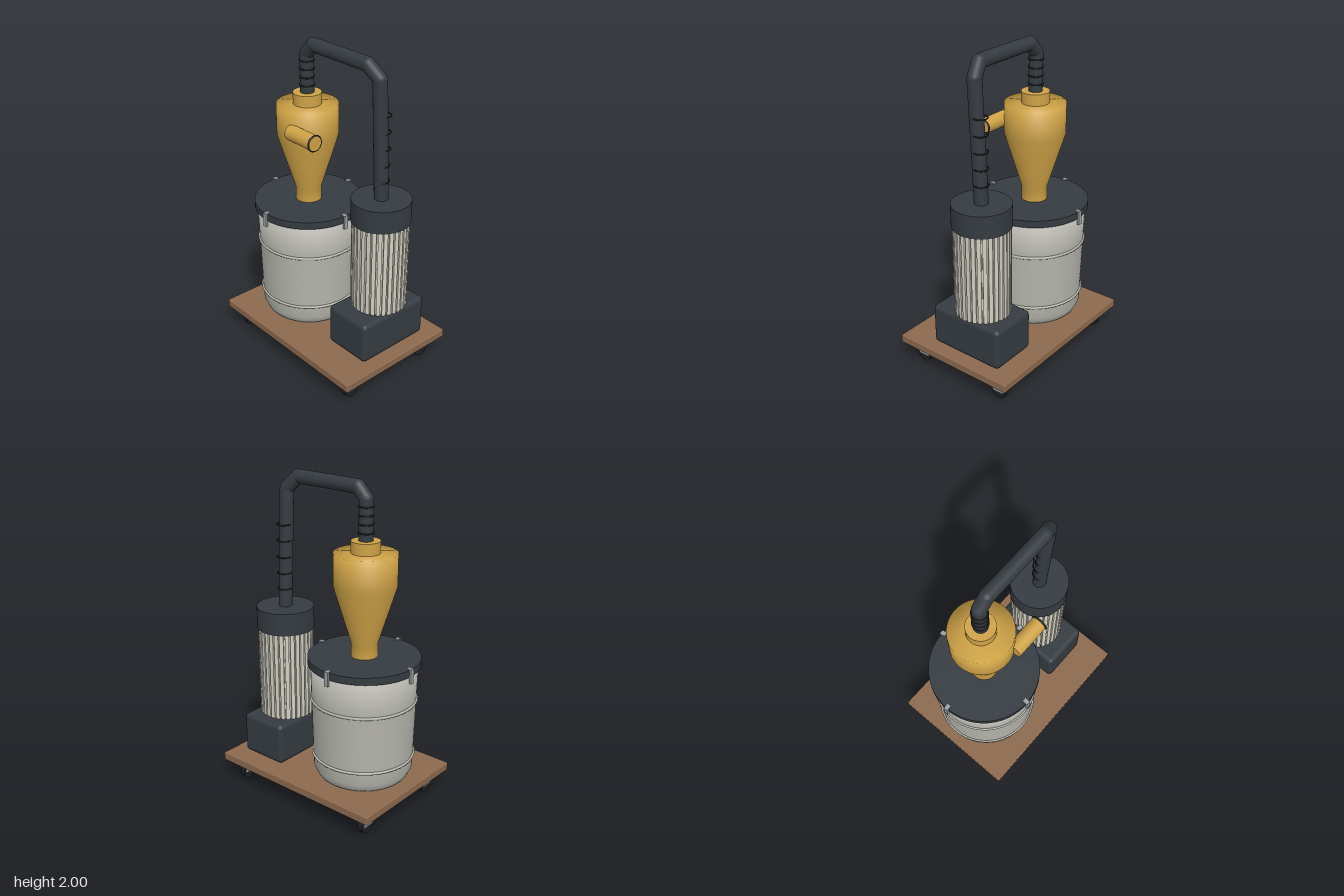
import * as THREE from 'three';
import { RoundedBoxGeometry } from 'three/addons/geometries/RoundedBoxGeometry.js';

const mat = (name, color) => {
  const m = new THREE.MeshStandardMaterial({ color });
  m.name = name;
  return m;
};

export function createModel() {
  const root = new THREE.Group();
  root.name = 'dustCollector';
  const dark = mat('charcoal', 0x353b41);
  const black = mat('black', 0x1d2023);
  const gold = mat('ochre', 0xcfa347);
  const drumGrey = mat('drumGrey', 0xb4b4ac);
  const pleat = mat('filterCream', 0xd2cfc2);
  const steel = mat('steel', 0x9ba2a6);
  const wood = mat('wood', 0x8c694e);

  const add = (name, geo, material, x = 0, y = 0, z = 0, parent = root) => {
    const m = new THREE.Mesh(geo, material);
    m.name = name;
    m.position.set(x, y, z);
    parent.add(m);
    return m;
  };
  const lathe = (pts, seg = 64) =>
    new THREE.LatheGeometry(pts.map(([r, y]) => new THREE.Vector2(r, y)), seg);
  const ring = (name, r, tube, material, x, y, z) => {
    const m = add(name, new THREE.TorusGeometry(r, tube, 8, 48), material, x, y, z);
    m.rotation.x = Math.PI / 2;
    return m;
  };

  // Wooden base on four casters
  add('baseBoard', new RoundedBoxGeometry(1.18, 0.055, 0.83, 2, 0.008), wood, 0, 0.1625, 0);
  for (const x of [-0.49, 0.49]) for (const z of [-0.3, 0.3]) {
    const caster = new THREE.Group();
    caster.name = 'caster';
    caster.position.set(x, 0, z);
    root.add(caster);
    const wheel = add('wheel', new THREE.CylinderGeometry(0.052, 0.052, 0.036, 28), black, 0, 0.052, 0, caster);
    wheel.rotation.z = Math.PI / 2;
    add('casterPlate', new THREE.BoxGeometry(0.068, 0.016, 0.096), steel, 0, 0.119, 0, caster);
    for (const s of [-1, 1])
      add('forkSide', new THREE.BoxGeometry(0.006, 0.066, 0.08), steel, s * 0.022, 0.081, 0, caster);
  }

  // Collection drum with two hoops
  const dx = -0.23;
  add('drum', lathe([[0, 0.192], [0.268, 0.192], [0.282, 0.205], [0.303, 0.25], [0.307, 0.34],
    [0.316, 0.7], [0.322, 0.925], [0, 0.925]]), drumGrey, dx);
  ring('lowerHoop', 0.309, 0.009, drumGrey, dx, 0.335, 0);
  ring('upperHoop', 0.317, 0.009, drumGrey, dx, 0.697, 0);

  // Lid and its four clips
  add('drumLid', new THREE.CylinderGeometry(0.338, 0.338, 0.045, 64), dark, dx, 0.94, 0);
  for (let i = 0; i < 4; i++) {
    const clip = new THREE.Group();
    clip.name = 'lidClip';
    clip.position.x = dx;
    clip.rotation.y = i * Math.PI / 2;
    root.add(clip);
    add('clipLever', new THREE.BoxGeometry(0.014, 0.09, 0.027), steel, 0.343, 0.923, 0, clip);
    add('clipHook', new THREE.BoxGeometry(0.034, 0.01, 0.025), steel, 0.332, 0.964, 0, clip);
  }

  // Cyclone body, collar and tangential inlet
  add('cyclone', lathe([[0.08, 0.96], [0.08, 1.045], [0.187, 1.395], [0.187, 1.59], [0.06, 1.59]]), gold, dx);
  add('cycloneCollar', new THREE.CylinderGeometry(0.086, 0.086, 0.075, 48), gold, dx, 1.6225, 0);
  const inlet = add('inletPipe', new THREE.CylinderGeometry(0.047, 0.047, 0.22, 32), gold, -0.06, 1.47, 0.18);
  inlet.rotation.z = Math.PI / 2;
  const rim = add('inletRim', new THREE.TorusGeometry(0.046, 0.006, 8, 40), black, 0.045, 1.47, 0.18);
  rim.rotation.y = Math.PI / 2;

  // Blower housing under the filter
  const fx = 0.35, fz = -0.06;
  add('blowerHousing', new RoundedBoxGeometry(0.32, 0.265, 0.505, 4, 0.03), dark, fx, 0.3225, -0.045);

  // Pleated filter, its cap
  add('filterCore', new THREE.CylinderGeometry(0.158, 0.158, 0.57, 48), pleat, fx, 0.74, fz);
  const fins = 32;
  const finGeo = new THREE.BoxGeometry(0.024, 0.565, 0.024);
  for (let i = 0; i < fins; i++) {
    const a = (i / fins) * Math.PI * 2;
    const fin = add('filterPleat', finGeo, pleat, fx + 0.16 * Math.cos(a), 0.7375, fz + 0.16 * Math.sin(a));
    fin.rotation.y = -a;
  }
  add('filterCap', new THREE.CylinderGeometry(0.178, 0.178, 0.14, 64), dark, fx, 1.09, fz);

  // Hose: straight runs joined by round elbows
  const R = 0.042;
  const path = [[dx, 1.6, 0], [dx, 1.895, 0], [-0.17, 1.958, 0], [0.28, 1.958, 0],
    [fx, 1.885, -0.025], [fx, 1.12, fz]].map(p => new THREE.Vector3(...p));
  const up = new THREE.Vector3(0, 1, 0);
  for (let i = 0; i < path.length - 1; i++) {
    const d = path[i + 1].clone().sub(path[i]);
    const mid = path[i].clone().addScaledVector(d, 0.5);
    const run = add('hoseRun', new THREE.CylinderGeometry(R, R, d.length(), 32), dark, mid.x, mid.y, mid.z);
    run.quaternion.setFromUnitVectors(up, d.normalize());
    if (i) add('hoseElbow', new THREE.SphereGeometry(R, 32, 16), dark, ...path[i].toArray());
  }

  // Hose rings
  for (let i = 0; i < 4; i++) ring('hoseRing', 0.043, 0.005, black, dx, 1.705 + i * 0.05, 0);
  for (let i = 0; i < 5; i++) ring('hoseRing', 0.043, 0.004, black, fx, 1.272 + i * 0.1, fz);

  return root;
}
